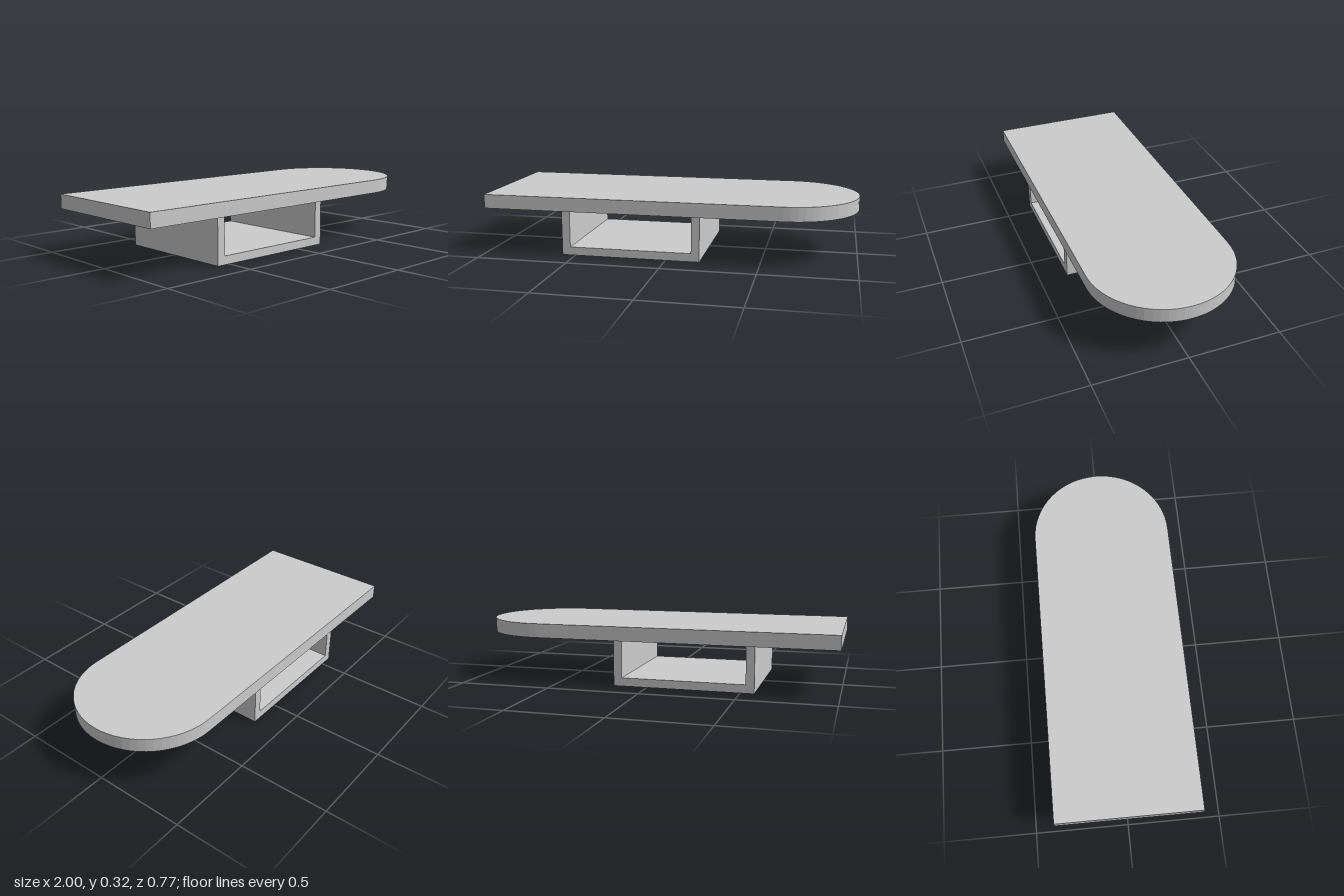
import * as THREE from 'three';

const material = new THREE.MeshStandardMaterial({ color: 0xcccccc, flatShading: true });

// Extrude a shape and name the resulting part
function extruded(name, shape, depth, curveSegments = 1) {
  const geometry = new THREE.ExtrudeGeometry(shape, { depth, curveSegments, bevelEnabled: false });
  const mesh = new THREE.Mesh(geometry, material);
  mesh.name = name;
  return mesh;
}

export function createModel() {
  const model = new THREE.Group();
  model.name = 'tabletopWithBracket';

  const bottom = 0.248, top = 0.324; // faces of the slab
  const radius = 0.384;

  // Slab: square at one end, half round at the other
  const outline = new THREE.Shape();
  outline.moveTo(-1, -radius);
  outline.lineTo(1 - radius, -radius);
  outline.absarc(1 - radius, 0, radius, -Math.PI / 2, Math.PI / 2, false);
  outline.lineTo(-1, radius);
  outline.closePath();
  const slab = extruded('top', outline, top - bottom, 16);
  slab.rotation.x = -Math.PI / 2;
  slab.position.y = bottom;
  model.add(slab);

  // U-shaped bracket under the slab, open to front and back
  const x0 = -0.573, x1 = 0.183, wall = 0.045, halfDepth = 0.347;
  const profile = new THREE.Shape([
    [x0, 0], [x1, 0], [x1, bottom], [x1 - wall, bottom],
    [x1 - wall, wall], [x0 + wall, wall], [x0 + wall, bottom], [x0, bottom],
  ].map(([x, y]) => new THREE.Vector2(x, y)));
  const bracket = extruded('bracket', profile, 2 * halfDepth);
  bracket.position.z = -halfDepth;
  model.add(bracket);

  return model;
}
